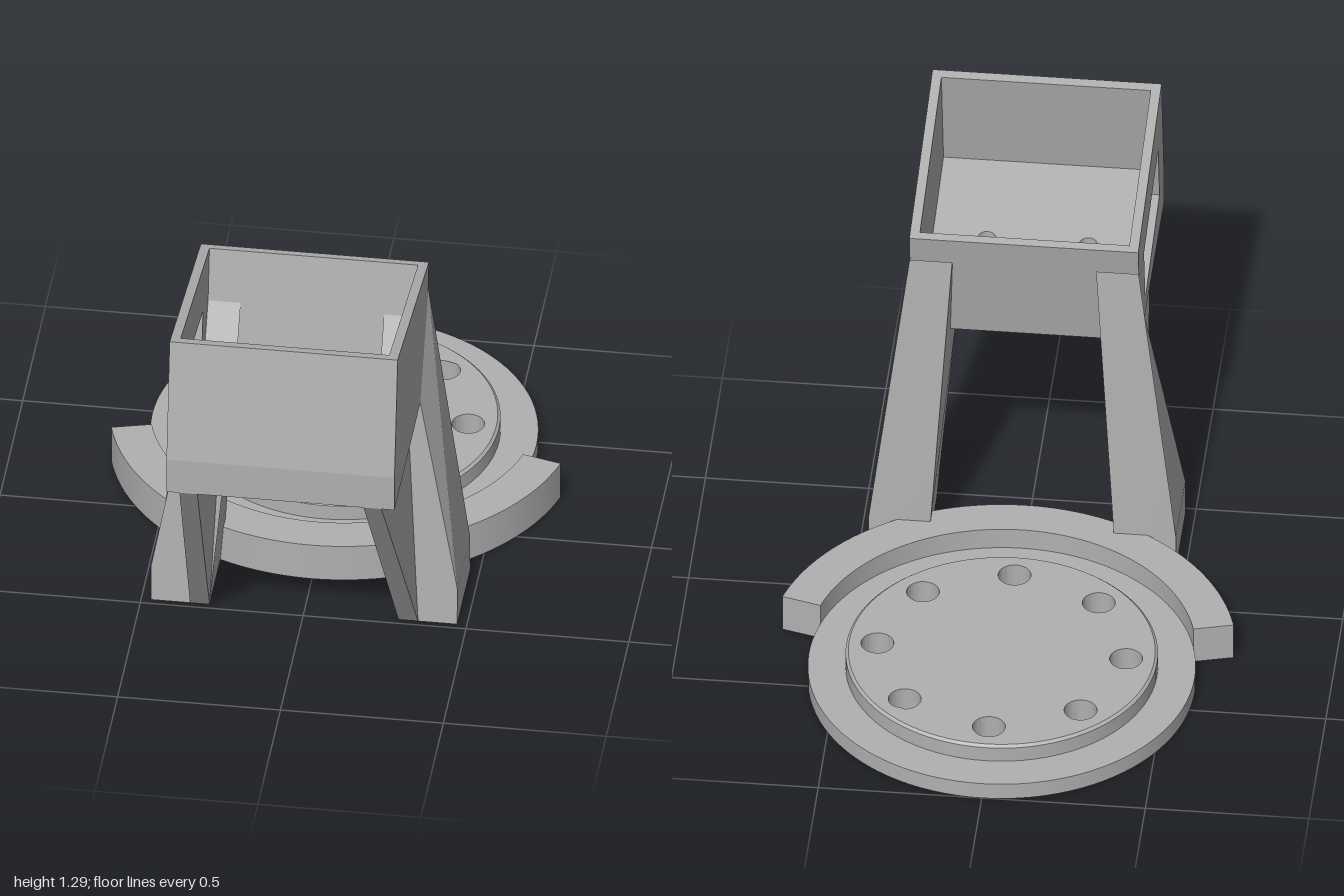
import * as THREE from 'three';
import { toCreasedNormals } from 'three/addons/utils/BufferGeometryUtils.js';

const CZ = -0.41; // centre of the round base

const poly = (pts) => new THREE.Shape(pts.map(([a, b]) => new THREE.Vector2(a, b)));

function circleHole(x, y, r) {
  const p = new THREE.Path();
  p.absarc(x, y, r, 0, Math.PI * 2, true);
  return p;
}

const extrude = (shape, depth) =>
  new THREE.ExtrudeGeometry(shape, { depth, bevelEnabled: false, curveSegments: 48 });

// Plan shape (x, z) standing between y0 and y1
const plan = (shape, y0, y1) => extrude(shape, y1 - y0).rotateX(Math.PI / 2).translate(0, y1, 0);

// Side profile (z, y) spanning x0 to x1
const side = (shape, x0, x1) => extrude(shape, x1 - x0).rotateY(-Math.PI / 2).translate(x1, 0, 0);

// Four-cornered section; front and back edges may lie at different heights
function section(s, xa, xb, zBack, zFront, yBack, yFront = yBack) {
  const x0 = Math.min(s * xa, s * xb), x1 = Math.max(s * xa, s * xb);
  return [[x0, yFront, zFront], [x1, yFront, zFront], [x1, yBack, zBack], [x0, yBack, zBack]];
}

// Closed solid through a stack of sections
function loft(sections) {
  const pos = sections.flat(2), idx = [];
  const last = (sections.length - 1) * 4;
  for (let k = 0; k < last; k += 4) {
    for (let j = 0; j < 4; j++) {
      const a = k + j, b = k + (j + 1) % 4;
      idx.push(a, b, b + 4, a, b + 4, a + 4);
    }
  }
  idx.push(0, 2, 1, 0, 3, 2, last, last + 1, last + 2, last, last + 2, last + 3);
  const g = new THREE.BufferGeometry();
  g.setAttribute('position', new THREE.Float32BufferAttribute(pos, 3));
  g.setIndex(idx);
  return g.toNonIndexed();
}

export function createModel() {
  const group = new THREE.Group();
  const grey = new THREE.MeshStandardMaterial({ color: 0xb0b0b0 });
  grey.name = 'plain grey';

  function add(name, geometry, crease = 0.5) {
    const mesh = new THREE.Mesh(toCreasedNormals(geometry, crease), grey);
    mesh.name = name;
    group.add(mesh);
  }

  // Round base: flange, raised plate and its chamfered top, with eight bolt holes
  function disc(r) {
    const s = new THREE.Shape();
    s.absarc(0, CZ, r, 0, Math.PI * 2, false);
    for (let i = 0; i < 8; i++) {
      const a = (i * Math.PI) / 4;
      s.holes.push(circleHole(0.38 * Math.cos(a), CZ + 0.38 * Math.sin(a), 0.05));
    }
    return s;
  }
  add('baseFlange', plan(disc(0.59), 0, 0.055));
  add('raisedPlate', plan(disc(0.475), 0.055, 0.105));
  const cap = plan(disc(0.475), 0.105, 0.113);
  const cp = cap.attributes.position;
  for (let i = 0; i < cp.count; i++) {
    const x = cp.getX(i), z = cp.getZ(i) - CZ;
    if (cp.getY(i) > 0.11 && Math.hypot(x, z) > 0.46) {
      cp.setX(i, x * 0.982);
      cp.setZ(i, CZ + z * 0.982);
    }
  }
  add('plateChamfer', cap);

  // Collar arc hugging the front of the base
  const a0 = Math.PI / 12, a1 = Math.PI - a0;
  const arc = new THREE.Shape();
  arc.absarc(0, CZ, 0.714, a0, a1, false);
  arc.absarc(0, CZ, 0.59, a1, a0, true);
  add('collar', plan(arc, 0, 0.125));

  // Tapered legs with forward gussets
  for (const s of [1, -1]) {
    const label = s > 0 ? 'left' : 'right';
    add(label + 'Leg', loft([
      section(s, 0.29, 0.47, 0.19, 0.48, 0),
      section(s, 0.28, 0.47, 0.193, 0.473, 0.125),
      section(s, 0.22, 0.35, 0.25, 0.43, 1.08, 0.78),
    ]), 0.3);
    add(label + 'Gusset', loft([
      section(s, 0.29, 0.35, 0.45, 0.48, 0),
      section(s, 0.255, 0.31, 0.42, 1.0, 0.78),
    ]), 0.3);
  }

  // Open-topped tray tilted back; the right wall has a window
  const outline = [[0.24, 1.17], [0.31, 0.78], [1, 0.78], [1, 0.9], [0.93, 1.29]];
  add('leftWall', side(poly(outline), 0.32, 0.35), 0.1);
  const windowed = poly(outline);
  windowed.holes.push(new THREE.Path(
    [[0.45, 0.835], [0.41, 1.04], [0.83, 1.115], [0.87, 0.91]].map(([z, y]) => new THREE.Vector2(z, y))));
  add('rightWall', side(windowed, -0.35, -0.32), 0.1);
  add('backWall', side(poly([[0.24, 1.17], [0.31, 0.78], [0.335, 0.78], [0.267, 1.175]]), -0.32, 0.32), 0.1);
  add('frontWall', side(poly([[0.9, 1.285], [0.963, 0.93], [0.963, 0.78], [1, 0.78], [1, 0.9], [0.93, 1.29]]),
    -0.32, 0.32), 0.1);

  // Wedge floor, flat below and sloped above, with two holes
  const floor = poly([[-0.32, 0.325], [0.32, 0.325], [0.32, 0.965], [-0.32, 0.965]]);
  for (const x of [-0.155, 0.155]) floor.holes.push(circleHole(x, 0.645, 0.028));
  const floorGeo = plan(floor, 0.78, 1);
  const fp = floorGeo.attributes.position;
  for (let i = 0; i < fp.count; i++) {
    if (fp.getY(i) > 0.9) fp.setY(i, 0.82 + (fp.getZ(i) - 0.325) * 0.174);
  }
  floorGeo.computeVertexNormals();
  add('trayFloor', floorGeo);

  return group;
}
